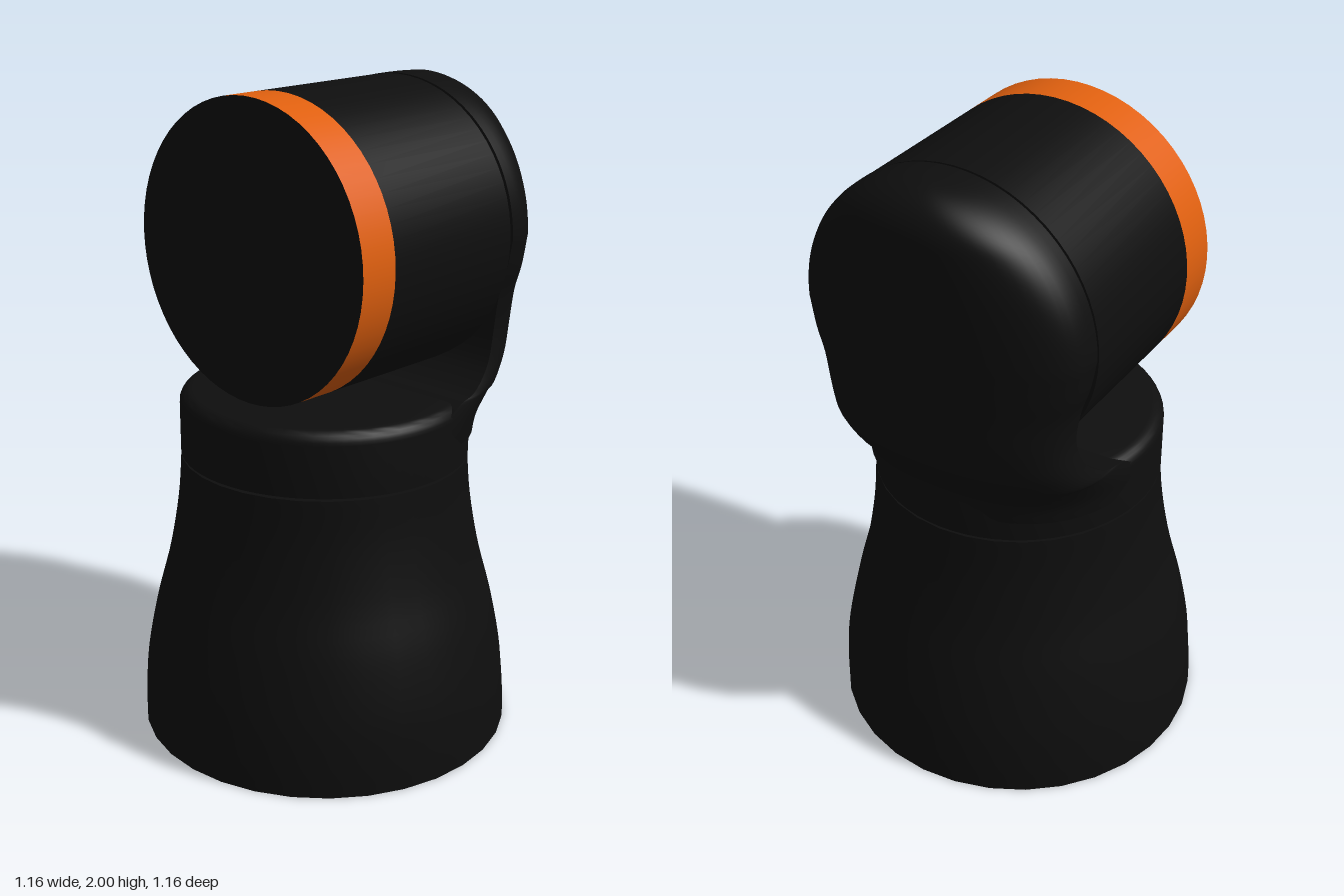
import * as THREE from 'three';
import { toCreasedNormals } from 'three/addons/utils/BufferGeometryUtils.js';

const black = new THREE.MeshStandardMaterial({ color: 0x0e0e0e });
const orange = new THREE.MeshStandardMaterial({ color: 0xe0600f });

function add(parent, name, geometry, material = black) {
  const mesh = new THREE.Mesh(geometry, material);
  mesh.name = name;
  parent.add(mesh);
  return mesh;
}

// Turned solid from [radius, height] pairs, listed bottom to top
function turned(profile, segments) {
  const points = profile.map(([r, y]) => new THREE.Vector2(r, y));
  return toCreasedNormals(new THREE.LatheGeometry(points, segments), 0.6);
}

// One horizontal slice of the arm: flat front, rounded back
function slice({ y, w, front, side, back }) {
  const ring = [];
  for (let i = 0; i <= 6; i++) ring.push([w * (i / 3 - 1), y, front]);
  const n = 28;
  for (let i = 0; i <= n; i++) {
    const a = (i / n) * Math.PI;
    const c = Math.cos(a);
    const x = Math.sign(c) * Math.abs(c) ** (2 / 2.3);
    const z = Math.abs(Math.sin(a)) ** (2 / 2.3);
    ring.push([w * x, y, side + (back - side) * z]);
  }
  return ring;
}

function armGeometry() {
  const slices = [];
  // Neck: height, half width, front z, side z, back z
  const keys = [
    [0.96, 0.43, 0, -0.02, -0.43],
    [1.02, 0.437, -0.01, -0.03, -0.442],
    [1.09, 0.428, -0.12, -0.15, -0.475],
    [1.11, 0.42, -0.2, -0.22, -0.487],
    [1.15, 0.406, -0.265, -0.285, -0.508],
    [1.2, 0.395, -0.305, -0.33, -0.53],
    [1.28, 0.388, -0.33, -0.36, -0.546],
    [1.38, 0.402, -0.33, -0.36, -0.55],
    [1.46, 0.427, -0.33, -0.36, -0.55],
    [1.555, 0.445, -0.33, -0.36, -0.55],
  ];
  const curve = (i, j) => new THREE.CatmullRomCurve3(
    keys.map((k) => new THREE.Vector3(k[0], k[i], k[j])), false, 'catmullrom', 0.5);
  const outline = curve(1, 2);
  const depth = curve(3, 4);
  for (let i = 0; i <= 45; i++) {
    const p = outline.getPoint(i / 45);
    const q = depth.getPoint(i / 45);
    slices.push(slice({ y: p.x, w: p.y, front: p.z, side: q.y, back: q.z }));
  }
  // Round head with a softened rear rim
  for (let i = 1; i <= 32; i++) {
    const a = (i / 32) * Math.PI / 2;
    const y = 1.555 + 0.445 * Math.sin(a);
    const over = Math.max(0, y - 1.88);
    const back = -0.43 - Math.sqrt(Math.max(0, 0.0144 - over * over));
    slices.push(slice({ y, w: 0.445 * Math.cos(a), front: -0.33, side: -0.36, back }));
  }
  const count = slices[0].length;
  const index = [];
  for (let i = 0; i < slices.length - 1; i++) {
    for (let j = 0; j < count; j++) {
      const k = (j + 1) % count;
      const a = i * count + j, b = i * count + k;
      index.push(a, b, a + count, b, b + count, a + count);
    }
  }
  const geometry = new THREE.BufferGeometry();
  geometry.setAttribute('position', new THREE.Float32BufferAttribute(slices.flat(2), 3));
  geometry.setIndex(index);
  return toCreasedNormals(geometry, 0.7);
}

export function createModel() {
  const model = new THREE.Group();
  model.name = 'swivelHead';

  // Flared foot
  const flare = new THREE.SplineCurve([
    [0.58, 0], [0.577, 0.1], [0.564, 0.23], [0.53, 0.4], [0.485, 0.57], [0.455, 0.74], [0.443, 0.887],
  ].map(([r, y]) => new THREE.Vector2(r, y))).getPoints(28).map((p) => [p.x, p.y]);
  add(model, 'base', turned([[0, 0], ...flare, [0, 0.887]], 32));

  // Swivel pin bridging the gap under the collar
  add(model, 'swivelPin', new THREE.CylinderGeometry(0.01, 0.01, 0.06, 12)).position.y = 0.89;

  // Collar with a rounded top edge
  const rim = [];
  for (let i = 0; i <= 6; i++) {
    const a = (i / 6) * Math.PI / 2;
    rim.push([0.403 + 0.04 * Math.cos(a), 1.053 + 0.04 * Math.sin(a)]);
  }
  add(model, 'collar', turned([[0, 0.895], [0.443, 0.895], ...rim, [0, 1.093]], 64));

  add(model, 'arm', armGeometry());

  // Drum lying along z, with a coloured band at the front
  const drum = new THREE.Group();
  drum.name = 'drum';
  drum.position.y = 1.555;
  drum.rotation.x = Math.PI / 2;
  model.add(drum);
  const r = 0.444;
  add(drum, 'drumBody', turned([[0, -0.32], [r, -0.32], [r, 0.19]], 64));
  add(drum, 'drumBand', new THREE.CylinderGeometry(r, r, 0.13, 64, 1, true), orange).position.y = 0.255;
  const face = add(drum, 'drumFace', new THREE.CircleGeometry(r, 64));
  face.position.y = 0.32;
  face.rotation.x = -Math.PI / 2;
  add(drum, 'tiltPin', new THREE.CylinderGeometry(0.01, 0.01, 0.06, 12)).position.y = -0.325;

  return model;
}
